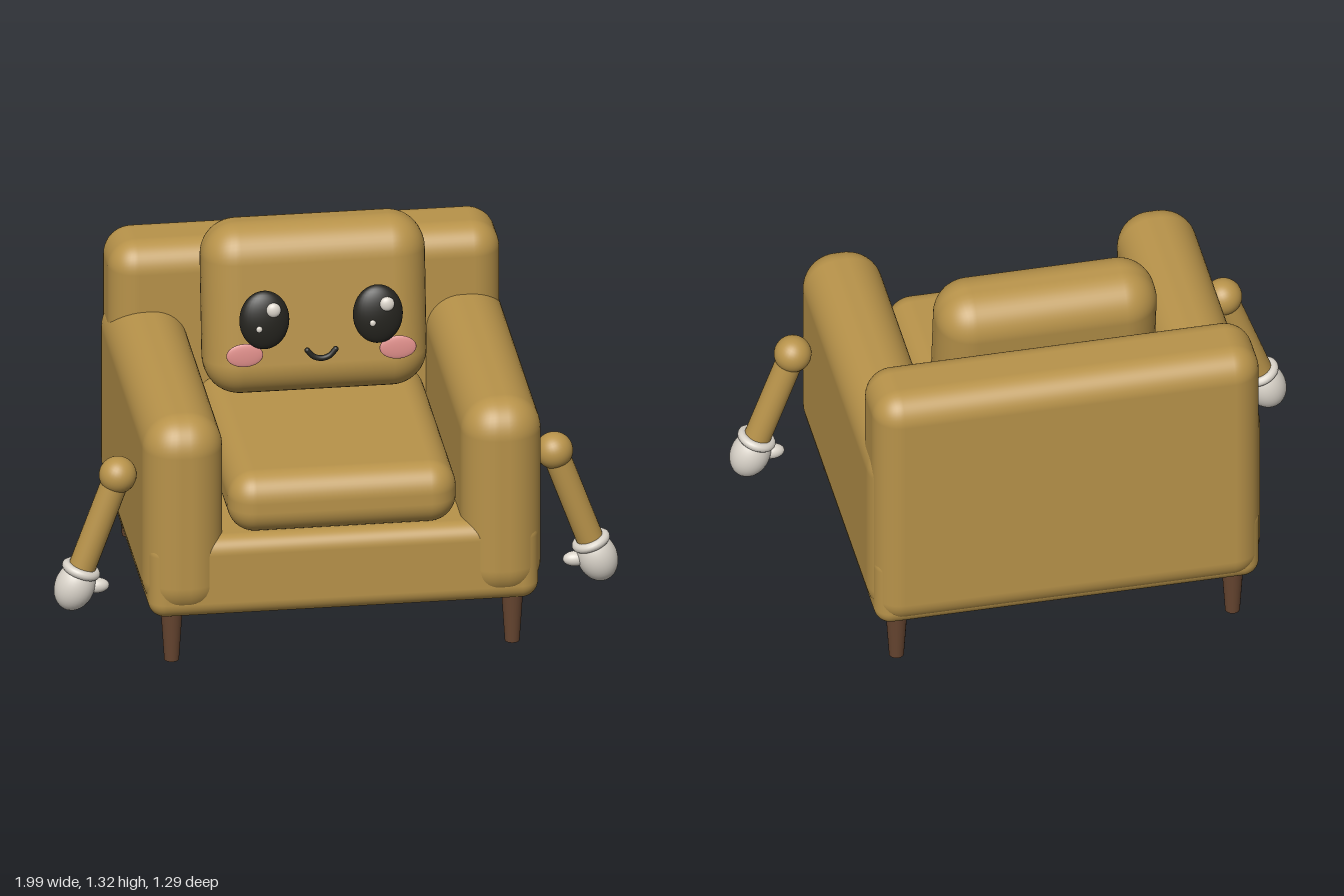
import * as THREE from 'three';
import { RoundedBoxGeometry } from 'three/addons/geometries/RoundedBoxGeometry.js';

const mat = (name, color, parameters = {}) => {
  const m = new THREE.MeshStandardMaterial({ color, ...parameters });
  m.name = name;
  return m;
};

export function createModel() {
  const fabric = mat('mustard fabric', 0xb8934a);
  const wood = mat('brown wood', 0x664530);
  const white = mat('glove white', 0xd9d3c9);
  const black = mat('eye black', 0x24231e);
  const pink = mat('cheek pink', 0xdc8c88);

  const model = new THREE.Group();
  model.name = 'armchair';

  const add = (parent, name, geometry, material, x, y, z) => {
    const mesh = new THREE.Mesh(geometry, material);
    mesh.name = name;
    mesh.position.set(x, y, z);
    parent.add(mesh);
    return mesh;
  };
  // Rounded block given by its extents on each axis
  const block = (name, [x0, x1], [y0, y1], [z0, z1], r) =>
    add(model, name, new RoundedBoxGeometry(x1 - x0, y1 - y0, z1 - z0, 6, r), fabric,
      (x0 + x1) / 2, (y0 + y1) / 2, (z0 + z1) / 2);
  // Sphere stretched to three radii
  const blob = (parent, name, material, [rx, ry, rz], x, y, z) =>
    add(parent, name, new THREE.SphereGeometry(1, 32, 20).scale(rx, ry, rz), material, x, y, z);

  // Upholstered body
  block('base', [-0.687, 0.687], [0.18, 0.48], [-0.625, 0.625], 0.06);
  block('backrest', [-0.69, 0.69], [0.187, 1.17], [-0.645, -0.35], 0.1);
  block('seatCushion', [-0.402, 0.402], [0.475, 0.7], [-0.37, 0.62], 0.095);
  block('leftArmrest', [0.42, 0.702], [0.183, 0.93], [-0.635, 0.645], 0.125);
  block('rightArmrest', [-0.702, -0.42], [0.183, 0.93], [-0.635, 0.645], 0.125);

  // Leaning pillow that carries the face
  const tilt = -0.125;
  const pillow = block('backPillow', [-0.394, 0.394], [0.697, 1.32], [-0.335, -0.053], 0.128);
  pillow.rotation.x = tilt;

  // Face
  const face = new THREE.Group();
  face.name = 'face';
  face.position.set(0, 1.037, 0.01);
  face.rotation.x = tilt;
  model.add(face);
  for (const s of [1, -1]) {
    const side = s > 0 ? 'left' : 'right';
    const x = 0.2 * s;
    blob(face, side + 'Eye', black, [0.088, 0.106, 0.038], x, 0, 0);
    blob(face, side + 'EyeHighlight', white, [0.026, 0.026, 0.015], x + 0.029, 0.043, 0.032);
    blob(face, side + 'EyeSparkle', white, [0.011, 0.011, 0.006], x - 0.023, -0.023, 0.036);
    blob(face, side + 'Cheek', pink, [0.065, 0.042, 0.008], 0.27 * s, -0.129, -0.01);
  }
  const smile = new THREE.CatmullRomCurve3([
    [-0.05, 0.015], [-0.028, -0.008], [0, -0.016], [0.028, -0.008], [0.05, 0.015],
  ].map(([x, y]) => new THREE.Vector3(x, y, 0)));
  add(face, 'mouth', new THREE.TubeGeometry(smile, 24, 0.01, 10), black, 0, -0.136, -0.004);
  for (const s of [1, -1]) {
    blob(face, 'mouthCorner', black, [0.01, 0.01, 0.01], 0.05 * s, -0.121, -0.004);
  }

  // Hanging limbs with gloves
  for (const s of [1, -1]) {
    const limb = new THREE.Group();
    limb.name = s > 0 ? 'leftLimb' : 'rightLimb';
    limb.position.set(0.769 * s, 0.648, 0.39);
    limb.rotation.z = 0.35 * s;
    model.add(limb);
    blob(limb, 'shoulder', fabric, [0.066, 0.066, 0.066], 0, 0, 0);
    add(limb, 'forearm', new THREE.CylinderGeometry(0.048, 0.048, 0.38, 24), fabric, 0, -0.19, 0);
    const cuff = add(limb, 'gloveCuff', new THREE.TorusGeometry(0.053, 0.017, 12, 32), white, 0, -0.376, 0);
    cuff.rotation.x = Math.PI / 2;
    blob(limb, 'gloveHand', white, [0.071, 0.092, 0.066], 0, -0.441, 0);
    const thumb = blob(limb, 'gloveThumb', white, [0.045, 0.027, 0.028], -0.073 * s, -0.418, 0);
    thumb.rotation.z = -0.35 * s;
  }

  // Tapered legs
  for (const x of [0.6, -0.6]) {
    for (const z of [0.54, -0.54]) {
      add(model, 'leg', new THREE.CylinderGeometry(0.039, 0.026, 0.2, 24), wood, x, 0.1, z);
    }
  }
  return model;
}
